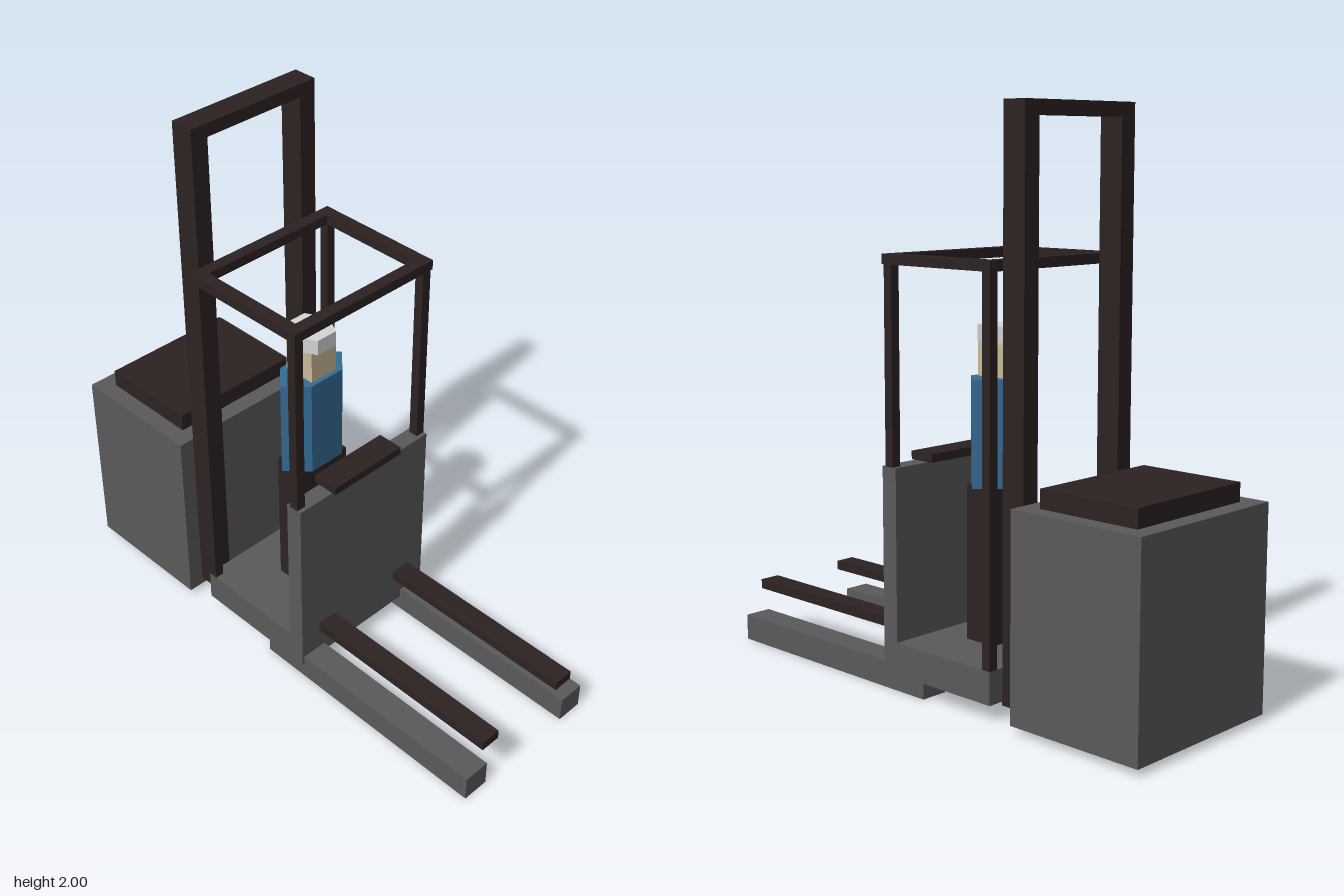
import * as THREE from 'three';

const material = (name, color) => {
  const m = new THREE.MeshStandardMaterial({ color });
  m.name = name;
  return m;
};

export function createModel() {
  const grey = material('bodyGrey', 0x5a5a5a);
  const dark = material('darkBrown', 0x2d2222);
  const blue = material('overallBlue', 0x356c95);
  const skin = material('skin', 0xcabb98);
  const white = material('helmetWhite', 0xd6d6d6);

  const model = new THREE.Group();
  model.name = 'orderPicker';
  const section = (name) => {
    const g = new THREE.Group();
    g.name = name;
    model.add(g);
    return g;
  };

  // Box given by its limits on each axis
  const box = (parent, name, mat, [x0, x1], [y0, y1], [z0, z1]) => {
    const mesh = new THREE.Mesh(new THREE.BoxGeometry(x1 - x0, y1 - y0, z1 - z0), mat);
    mesh.position.set((x0 + x1) / 2, (y0 + y1) / 2, (z0 + z1) / 2);
    mesh.name = name;
    parent.add(mesh);
  };
  // The same box on both sides of the centre line
  const pair = (parent, name, mat, x, y, [z0, z1]) => {
    box(parent, name + 'Left', mat, x, y, [z0, z1]);
    box(parent, name + 'Right', mat, x, y, [-z1, -z0]);
  };
  // Flat-sided hexagonal prism with corners on the z axis
  const hexPrism = (parent, name, mat, x, [y0, y1], halfX, halfZ) => {
    const geo = new THREE.CylinderGeometry(1, 1, y1 - y0, 6).toNonIndexed();
    geo.scale(halfX / Math.cos(Math.PI / 6), 1, halfZ);
    geo.computeVertexNormals();
    const mesh = new THREE.Mesh(geo, mat);
    mesh.position.set(x, (y0 + y1) / 2, 0);
    mesh.name = name;
    parent.add(mesh);
  };

  // Power unit with battery cover
  const power = section('powerUnit');
  box(power, 'powerBody', grey, [-0.96, -0.44], [0.025, 0.735], [-0.325, 0.325]);
  box(power, 'batteryCover', dark, [-0.895, -0.505], [0.735, 0.8], [-0.26, 0.26]);

  // Lifting mast
  const mast = section('mast');
  pair(mast, 'mastPost', dark, [-0.44, -0.35], [0.055, 2], [0.2, 0.266]);
  box(mast, 'mastTopBar', dark, [-0.44, -0.35], [1.953, 2], [-0.2, 0.2]);

  // Operator cabin: floor, front panel, console and overhead guard
  const cabin = section('cabin');
  box(cabin, 'floor', grey, [-0.335, 0.17], [0.06, 0.175], [-0.31, 0.31]);
  box(cabin, 'frontPanel', grey, [0.105, 0.17], [0.175, 0.785], [-0.31, 0.31]);
  box(cabin, 'console', dark, [0.085, 0.185], [0.785, 0.815], [-0.16, 0.16]);
  pair(cabin, 'rearPost', dark, [-0.335, -0.3], [0.175, 1.47], [0.275, 0.31]);
  pair(cabin, 'frontPost', dark, [0.12, 0.155], [0.785, 1.47], [0.275, 0.31]);
  pair(cabin, 'guardSideBar', dark, [-0.34, 0.16], [1.47, 1.505], [0.268, 0.314]);
  box(cabin, 'guardRearBar', dark, [-0.34, -0.295], [1.47, 1.505], [-0.268, 0.268]);
  box(cabin, 'guardFrontBar', dark, [0.115, 0.16], [1.47, 1.505], [-0.268, 0.268]);

  // Forks and outrigger legs
  const load = section('loadArms');
  pair(load, 'fork', dark, [0.175, 0.955], [0.185, 0.22], [0.152, 0.23]);
  pair(load, 'outrigger', grey, [-0.015, 0.955], [0, 0.095], [0.2, 0.302]);

  // Standing operator
  const operator = section('operator');
  box(operator, 'legs', dark, [-0.16, -0.033], [0.175, 0.72], [-0.108, 0.108]);
  hexPrism(operator, 'torso', blue, -0.097, [0.72, 1.09], 0.078, 0.147);
  box(operator, 'head', skin, [-0.16, -0.035], [1.09, 1.21], [-0.057, 0.057]);
  hexPrism(operator, 'helmet', white, -0.097, [1.205, 1.263], 0.077, 0.084);

  return model;
}
